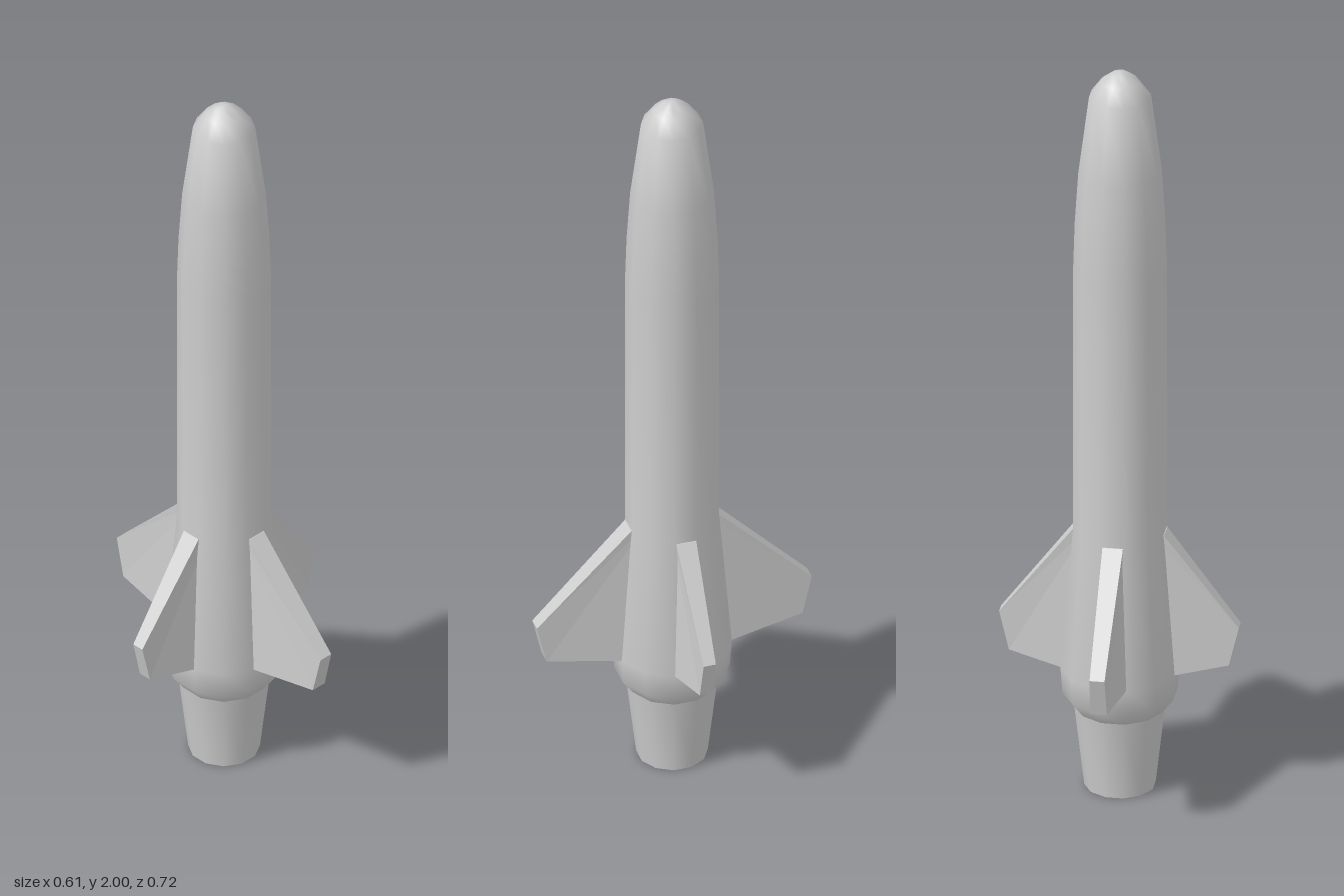
import * as THREE from 'three';
import { toCreasedNormals } from 'three/addons/utils/BufferGeometryUtils.js';

const SIDES = 12;

// Twelve-sided turned part; profile points are [radius, height]
function turned(name, profile, material) {
  const points = profile.map(([r, y]) => new THREE.Vector2(r, y));
  const lathe = new THREE.LatheGeometry(points, SIDES, Math.PI / SIDES);
  const mesh = new THREE.Mesh(toCreasedNormals(lathe, 0.8), material);
  mesh.name = name;
  return mesh;
}

// Tapered fin along +z; outline corners are [distance, height, half thickness]
function finGeometry(outline) {
  const pos = [];
  const tri = (a, b, c) => pos.push(...a, ...b, ...c);
  const left = outline.map(([d, y, t]) => [t, y, d]);
  const right = outline.map(([d, y, t]) => [-t, y, d]);
  const n = outline.length;
  for (let i = 1; i < n - 1; i++) {
    tri(left[0], left[i + 1], left[i]);
    tri(right[0], right[i], right[i + 1]);
  }
  for (let i = 0; i < n; i++) {
    const j = (i + 1) % n;
    tri(left[i], left[j], right[j]);
    tri(left[i], right[j], right[i]);
  }
  const geometry = new THREE.BufferGeometry();
  geometry.setAttribute('position', new THREE.Float32BufferAttribute(pos, 3));
  geometry.computeVertexNormals();
  return geometry;
}

export function createModel() {
  const group = new THREE.Group();
  group.name = 'rocket';
  const grey = new THREE.MeshStandardMaterial({ color: 0xcccccc, side: THREE.DoubleSide });
  grey.name = 'light grey';

  // Hollow nozzle and its rim
  group.add(turned('nozzle', [
    [0, 0.12], [0.052, 0.12], [0.056, 0], [0.09, 0], [0.115, 0.22],
  ], grey));

  // Flared collar, straight hull and blunt nose
  group.add(turned('hull', [
    [0.115, 0.22], [0.145, 0.26], [0.15, 0.33], [0.118, 0.72], [0.118, 1.45],
    [0.114, 1.58], [0.105, 1.72], [0.078, 1.93], [0.048, 1.972], [0.022, 1.992], [0, 2],
  ], grey));

  // Four fins, the front and back pair reaching further out
  for (let i = 0; i < 4; i++) {
    const long = i % 2 === 0;
    const tip = long ? 0.362 : 0.304;
    const t = long ? 0.019 : 0.016;
    const fin = new THREE.Mesh(finGeometry([
      [0.08, 0.72, 0.026], [0.116, 0.715, 0.026], [tip, 0.465, t],
      [tip - 0.025, 0.36, t + 0.002], [0.145, 0.332, 0.039], [0.08, 0.332, 0.039],
    ]), grey);
    fin.name = ['frontFin', 'leftFin', 'backFin', 'rightFin'][i];
    fin.rotation.y = i * Math.PI / 2;
    group.add(fin);
  }
  return group;
}
